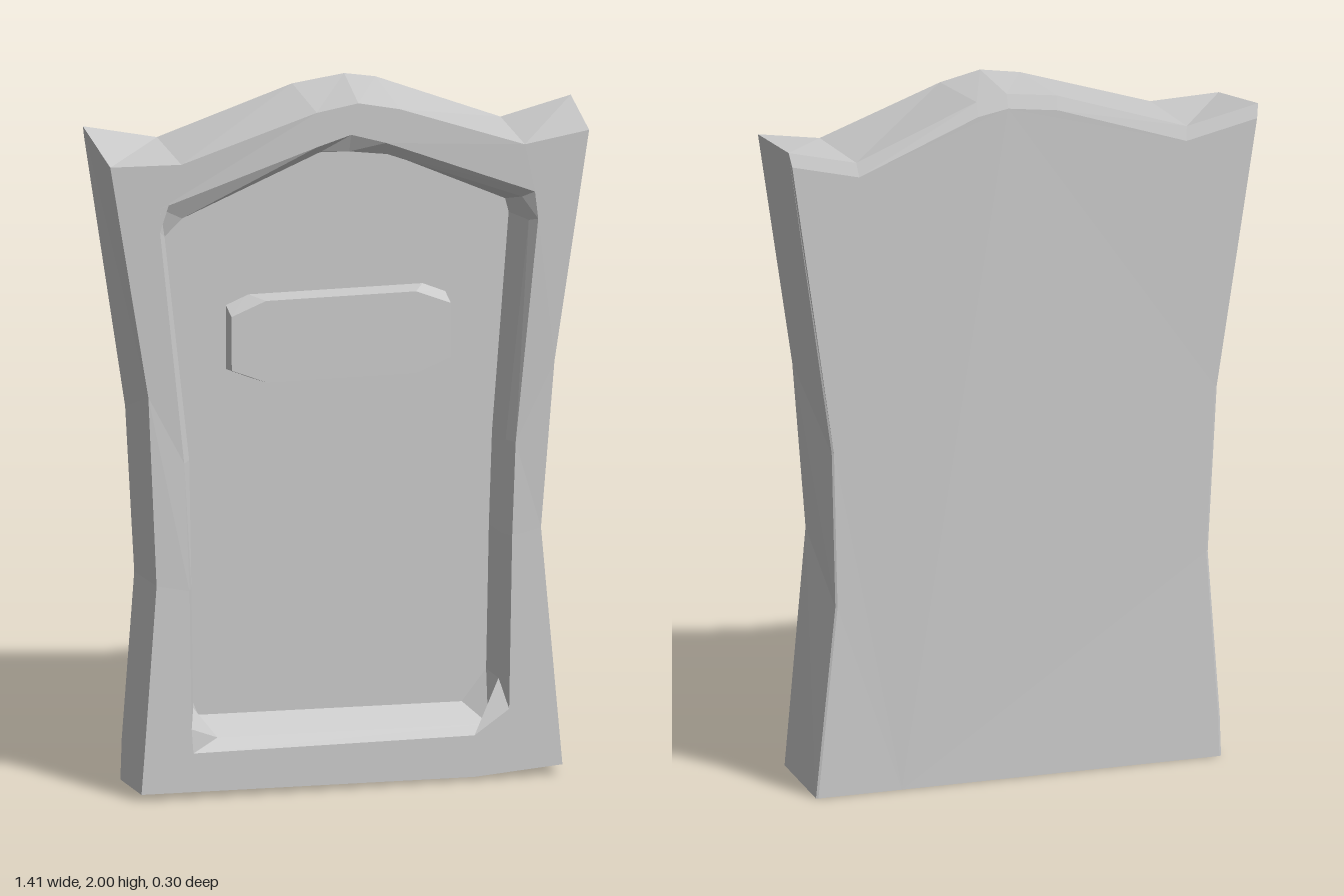
import * as THREE from 'three';

const stone = new THREE.MeshStandardMaterial({ color: 0xcccccc, flatShading: true });

// Give a 2D outline its depth by a rule of height
const ring = (points, depth) => points.map(([x, y]) => new THREE.Vector3(x, y, depth(y)));

// Skin consecutive rings (ordered back to front, counterclockwise seen from +z) and cap both ends
function loft(name, rings) {
  const tris = [];
  for (let r = 0; r < rings.length - 1; r++) {
    const a = rings[r], b = rings[r + 1], n = a.length;
    for (let i = 0; i < n; i++) {
      const j = (i + 1) % n;
      tris.push(a[i], a[j], b[j], a[i], b[j], b[i]);
    }
  }
  const cap = (loop, flip) => {
    const flat = loop.map(p => new THREE.Vector2(p.x, p.y));
    for (const [i, j, k] of THREE.ShapeUtils.triangulateShape(flat, [])) {
      if (flip) tris.push(loop[i], loop[k], loop[j]);
      else tris.push(loop[i], loop[j], loop[k]);
    }
  };
  cap(rings[0], true);
  cap(rings[rings.length - 1], false);
  const geometry = new THREE.BufferGeometry().setFromPoints(tris);
  geometry.computeVertexNormals();
  const mesh = new THREE.Mesh(geometry, stone);
  mesh.name = name;
  return mesh;
}

// Slab is thinnest near the waist and thickens towards the crown
const frontZ = y => y < 0.9 ? 0.13 - 0.011 * y : Math.min(0.15, 0.12 + 0.032 * (y - 0.9));
const backZ = y => y < 0.9 ? -0.12 : Math.max(-0.15, -0.12 - 0.03 * (y - 0.9));
const rimZ = y => frontZ(y) - 0.045 + 0.01 * y;

// Outlines start at the lower -x corner and run counterclockwise
const backEdge = [
  [-0.6, 0], [0.36, 0], [0.613, 0], [0.555, 0.55], [0.567, 1], [0.703, 1.895], [0.5, 1.845], [0.14, 1.985],
  [0.05, 2], [-0.1, 1.98], [-0.49, 1.85], [-0.703, 1.895], [-0.585, 1.08], [-0.56, 0.6], [-0.596, 0.12]];
const frontEdge = [
  [-0.6, 0.02], [0.36, 0.01], [0.613, 0.03], [0.553, 0.72], [0.59, 1.2], [0.685, 1.87], [0.5, 1.84], [0.14, 1.965],
  [0.02, 1.99], [-0.1, 1.97], [-0.49, 1.845], [-0.695, 1.85], [-0.58, 1.17], [-0.555, 0.62], [-0.592, 0.12]];
const lip = [
  [-0.45, 0.13], [0.36, 0.13], [0.46, 0.2], [0.47, 0.7], [0.48, 0.97], [0.54, 1.62], [0.53, 1.7], [0.1, 1.87],
  [0, 1.9], [-0.1, 1.87], [-0.55, 1.72], [-0.55, 1.65], [-0.475, 0.97], [-0.46, 0.6], [-0.455, 0.2]];
const rim = [
  [-0.37, 0.16], [0.41, 0.15], [0.44, 0.28], [0.45, 0.7], [0.46, 0.97], [0.52, 1.61], [0.5, 1.68], [0.11, 1.83],
  [0, 1.845], [-0.08, 1.85], [-0.48, 1.68], [-0.53, 1.63], [-0.452, 0.97], [-0.445, 0.6], [-0.44, 0.25]];
const panel = [
  [-0.4, 0.2], [0.36, 0.19], [0.43, 0.28], [0.438, 0.7], [0.447, 0.97], [0.495, 1.6], [0.485, 1.64], [0.11, 1.81],
  [0, 1.812], [-0.11, 1.81], [-0.47, 1.65], [-0.5, 1.59], [-0.43, 0.97], [-0.425, 0.6], [-0.42, 0.25]];

// Eight-sided outline of a rectangle with cut corners
function cutRect(x0, x1, y0, y1, cx, cy) {
  return [[x0 + cx, y0], [x1 - cx, y0], [x1, y0 + cy], [x1, y1 - cy],
    [x1 - cx, y1], [x0 + cx, y1], [x0, y1 - cy], [x0, y0 + cy]];
}

export function createModel() {
  const group = new THREE.Group();
  group.name = 'gravestone';

  // Slab: bevelled back, sides, front frame and sunken panel
  const backFace = backEdge.map(([x, y]) => [x * 0.99, y > 1.8 ? y - 0.04 : y]);
  group.add(loft('slab', [
    ring(backFace, backZ),
    ring(backEdge, y => backZ(y) + (y > 1.8 ? 0.012 : 0.003)),
    ring(frontEdge, frontZ),
    ring(lip, frontZ),
    ring(rim, rimZ),
    ring(panel, () => -0.02),
  ]));

  // Raised plaque on the panel
  group.add(loft('plaque', [
    ring(cutRect(-0.32, 0.312, 1.17, 1.41, 0.06, 0.025), () => -0.03),
    ring(cutRect(-0.32, 0.312, 1.17, 1.405, 0.1, 0.04), y => 0.05 - 0.02 * (y - 1.17)),
  ]));

  return group;
}
